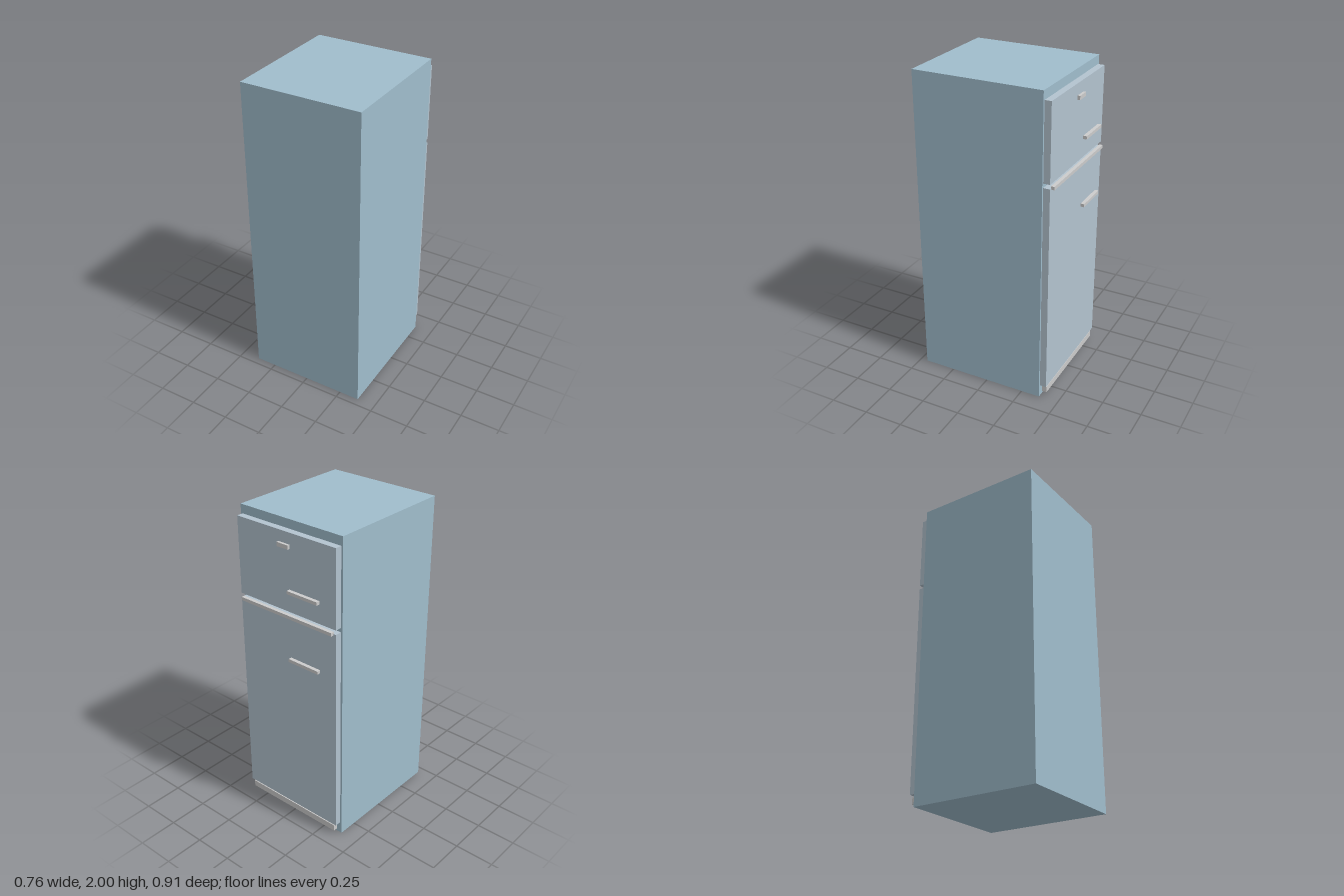
import * as THREE from 'three';

export function createModel() {
  const model = new THREE.Group();
  const bodyMat = new THREE.MeshStandardMaterial({ color: 0xa0bdcc });
  const doorMat = new THREE.MeshStandardMaterial({ color: 0xb3c3cf });
  const trimMat = new THREE.MeshStandardMaterial({ color: 0xcccccc });

  // Box given by its [min, max] extents on each axis
  function addBox(name, material, [x0, x1], [y0, y1], [z0, z1]) {
    const geometry = new THREE.BoxGeometry(x1 - x0, y1 - y0, z1 - z0);
    const mesh = new THREE.Mesh(geometry, material);
    mesh.name = name;
    mesh.position.set((x0 + x1) / 2, (y0 + y1) / 2, (z0 + z1) / 2);
    model.add(mesh);
  }

  // Cabinet, with its doors on the -z side
  addBox('cabinet', bodyMat, [-0.38, 0.38], [0, 2], [-0.372, 0.453]);

  // Doors
  const doorX = [-0.368, 0.368], doorZ = [-0.414, -0.372];
  addBox('freezerDoor', doorMat, doorX, [1.46, 1.944], doorZ);
  addBox('fridgeDoor', doorMat, doorX, [0.08, 1.433], doorZ);

  // Trim strip along the top of the lower door, and the kick plate
  addBox('trimStrip', trimMat, [-0.35, 0.35], [1.424, 1.445], [-0.433, -0.411]);
  addBox('kickPlate', trimMat, [-0.35, 0.35], [0.026, 0.068], [-0.41, -0.38]);

  // One bar handle per door
  for (const [name, y] of [['freezerHandle', 1.602], ['fridgeHandle', 1.166]]) {
    addBox(name, trimMat, [-0.263, -0.04], [y - 0.01, y + 0.01], [-0.453, -0.43]);
  }

  // Plain badge plate on the freezer door
  addBox('badgePlate', trimMat, [-0.042, 0.041], [1.853, 1.878], [-0.437, -0.421]);

  return model;
}
